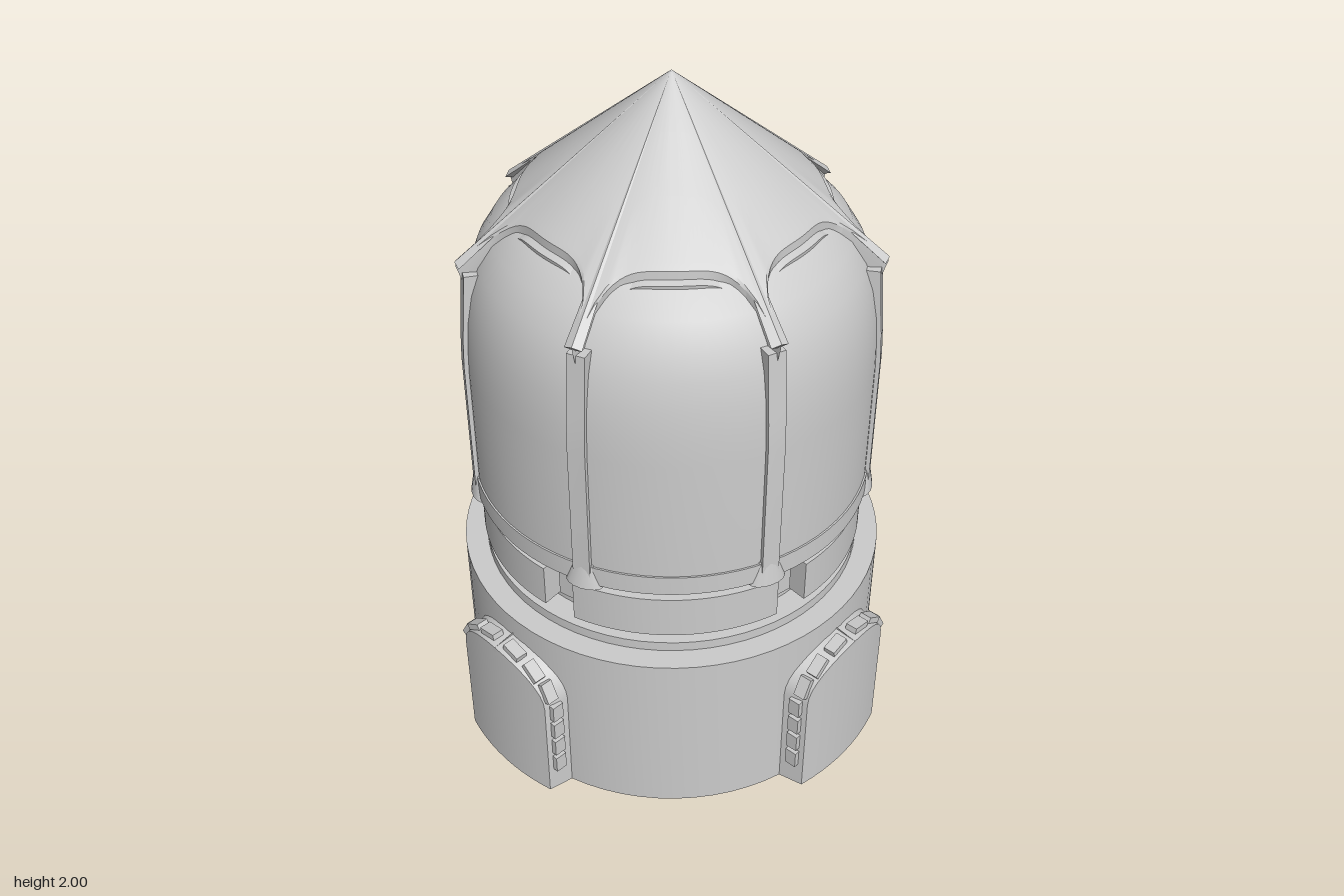
import * as THREE from 'three';
import { toCreasedNormals } from 'three/addons/utils/BufferGeometryUtils.js';

const mat = new THREE.MeshStandardMaterial({ color: 0xcccccc });
const V2 = (x, y) => new THREE.Vector2(x, y);
const deg = Math.PI / 180;
const PETALS = 7;
const lerp = THREE.MathUtils.lerp;

function add(parent, name, geo, crease = 0.5) {
  const mesh = new THREE.Mesh(toCreasedNormals(geo, crease), mat);
  mesh.name = name;
  parent.add(mesh);
  return mesh;
}

// Group turned about the tower axis; local +z points outwards
function spoke(parent, name, angle) {
  const g = new THREE.Group();
  g.name = name;
  g.rotation.y = angle;
  parent.add(g);
  return g;
}

function lathe(points, segments = 72) {
  return new THREE.LatheGeometry(points.map(([r, y]) => V2(r, y)), segments);
}

// Surface from rows (bottom to top) of points (left to right)
function grid(rows) {
  const n = rows[0].length, index = [];
  for (let i = 0; i < rows.length - 1; i++) {
    for (let j = 0; j < n - 1; j++) {
      const a = i * n + j, d = a + n;
      index.push(a, a + 1, d + 1, a, d + 1, d);
    }
  }
  const geo = new THREE.BufferGeometry();
  geo.setAttribute('position', new THREE.Float32BufferAttribute(rows.flat(2), 3));
  geo.setIndex(index);
  return geo;
}

// Arched panel curved around the tower; outline = [half width, height] from foot to apex
function archPanel(outline, radius, flare) {
  const back = 0.58, n = 10;
  const at = (u, y, r) => [u, y, Math.sqrt(r * r - u * u)];
  const row = (w, y, r, backW, backY) => {
    const pts = [at(-backW, backY, back)];
    for (let j = 0; j <= n; j++) pts.push(at(lerp(-w, w, j / n), y, r));
    pts.push(at(backW, backY, back));
    return pts;
  };
  const [w0, y0] = outline[0];
  const [, yTop] = outline[outline.length - 1];
  return grid([
    row(w0 + flare, y0, back, w0 + flare, y0),
    ...outline.map(([w, y], i) => row(w, y, radius, w + (w > 0.001 ? flare : 0), i ? y + flare * 0.5 : y)),
    row(0, yTop + flare, back, 0, yTop + flare),
  ]);
}

// Scalloped conical roof: its lower edge arches over every petal
function roofGeometry() {
  const cols = PETALS * 28;
  const low = [[0.03, -0.09, -0.06, -0.12], [0.035, -0.042, -0.03, -0.08], [0.016, -0.036, -0.012, -0.05], [0.014, -0.014, 0, -0.01]];
  const edge = (j) => {
    const t = ((j % 28) - 14) / 14;
    return { k: t ** 4, r: 0.385 + 0.185 * (1 - Math.sqrt(1 - t ** 4)), a: ((j - 14) / cols) * Math.PI * 2 };
  };
  const ring = (fn) => Array.from({ length: cols + 1 }, (_, j) => {
    const e = edge(j), [r, y] = fn(e);
    return [r * Math.sin(e.a), y, r * Math.cos(e.a)];
  });
  const coneY = (r) => 2 - 0.825 * r;
  return grid([
    ...low.map(([r0, y0, r1, y1]) => ring(({ k, r }) => [r + lerp(r0, r1, k), coneY(r) + lerp(y0, y1, k)])),
    ...[1, 0.66, 0.33, 0].map((f) => ring(({ r }) => [r * f, coneY(r * f)])),
  ]);
}

export function createModel() {
  const model = new THREE.Group();
  model.name = 'domedTower';
  const tower = new THREE.Group();
  tower.name = 'tower';
  tower.position.z = 0.035;
  model.add(tower);

  // Round base, ledge and neck
  add(tower, 'base', lathe([[0, 0], [0.615, 0], [0.615, 0.545], [0.55, 0.545], [0.55, 0.575], [0.48, 0.575], [0.48, 0.79]]));

  // Arched windows with blocks set around their sloping rims
  const arch = [[0.18, 0], [0.18, 0.34]];
  for (let i = 1; i <= 8; i++) {
    const a = (i / 8) * Math.PI / 2;
    arch.push([0.18 * Math.cos(a), 0.34 + 0.13 * Math.sin(a)]);
  }
  const windowGeo = archPanel(arch, 0.68, 0.02);
  for (const angle of [48, 132, -132, -48]) {
    const g = spoke(tower, 'window', angle * deg);
    add(g, 'windowPanel', windowGeo);
    for (const side of [-1, 1]) {
      const block = (u, y, z, tilt, length) => {
        const m = add(g, 'rimBlock', new THREE.BoxGeometry(0.018, length, 0.035));
        m.position.set(side * u, y, z);
        m.rotation.z = side * tilt;
      };
      for (let i = 0; i < 4; i++) block(0.19, 0.11 + i * 0.07, 0.623, 0, 0.055);
      for (const a of [22, 48, 74]) {
        const c = Math.cos(a * deg), s = Math.sin(a * deg);
        block(0.187 * c, 0.343 + 0.138 * s, 0.625 + 0.025 * s, Math.atan2(0.18 * s, 0.13 * c), 0.06);
      }
    }
  }

  // Plain pointed door at the back
  const door = spoke(tower, 'door', Math.PI);
  add(door, 'doorPanel', archPanel([[0.15, 0], [0.15, 0.34], [0.075, 0.44], [0, 0.475]], 0.69, 0));

  // Broken collar around the neck, with a small block in each gap
  const gaps = [35, 91, 147, 213, 269, 325];
  gaps.forEach((gap, i) => {
    const from = (gap + 5 - 90) * deg;
    const to = ((gaps[i + 1] ?? 395) - 5 - 90) * deg;
    const shape = new THREE.Shape();
    shape.absarc(0, 0, 0.555, from, to, false);
    shape.absarc(0, 0, 0.47, to, from, true);
    const geo = new THREE.ExtrudeGeometry(shape, { depth: 0.13, bevelEnabled: false, curveSegments: 18 });
    add(tower, 'collarSegment', geo.rotateX(-Math.PI / 2).translate(0, 0.61, 0));
    add(spoke(tower, 'collarGap', gap * deg), 'collarBlock', new THREE.BoxGeometry(0.045, 0.08, 0.06).translate(0, 0.68, 0.49));
  });

  // Dome wall with a shallow lip at its foot
  const curve = [[0.565, 1.2], [0.562, 1.28], [0.555, 1.36], [0.54, 1.44], [0.515, 1.51], [0.475, 1.575], [0.42, 1.63], [0.35, 1.67]];
  add(tower, 'dome', lathe([[0.47, 0.775], [0.57, 0.775], [0.57, 0.835], [0.565, 0.835], ...curve], 84), 0.6);

  // Scalloped roof
  add(tower, 'roof', roofGeometry());

  // Ribs between the petals, each with a foot and a ridge up to the apex
  const ribShape = new THREE.Shape([
    V2(0.53, 0.8), V2(0.576, 0.8), V2(0.576, 1.22), V2(0.572, 1.3), V2(0.565, 1.38), V2(0.555, 1.5), V2(0.5, 1.5), V2(0.53, 1.3),
  ]);
  const ribGeo = new THREE.ExtrudeGeometry(ribShape, { depth: 0.05, bevelEnabled: false })
    .translate(0, 0, -0.025).rotateY(-Math.PI / 2);
  const apex = new THREE.Vector3(0, 2, 0), tip = new THREE.Vector3(0, 1.525, 0.565);
  const ridgeLength = apex.distanceTo(tip);
  for (let i = 0; i < PETALS; i++) {
    const g = spoke(tower, 'rib', ((i + 0.5) / PETALS) * Math.PI * 2);
    add(g, 'ribBar', ribGeo);
    const foot = add(g, 'ribFoot', new THREE.CylinderGeometry(0.032, 0.055, 0.075, 16));
    foot.position.set(0, 0.803, 0.557);
    foot.scale.z = 0.55;
    const ridge = add(g, 'roofRidge', new THREE.CylinderGeometry(0, 0.024, ridgeLength, 4), 0.1);
    ridge.position.copy(apex).add(tip).multiplyScalar(0.5);
    ridge.rotation.x = -Math.atan2(tip.z, apex.y - tip.y);
    ridge.scale.z = 0.5;
  }
  return model;
}
